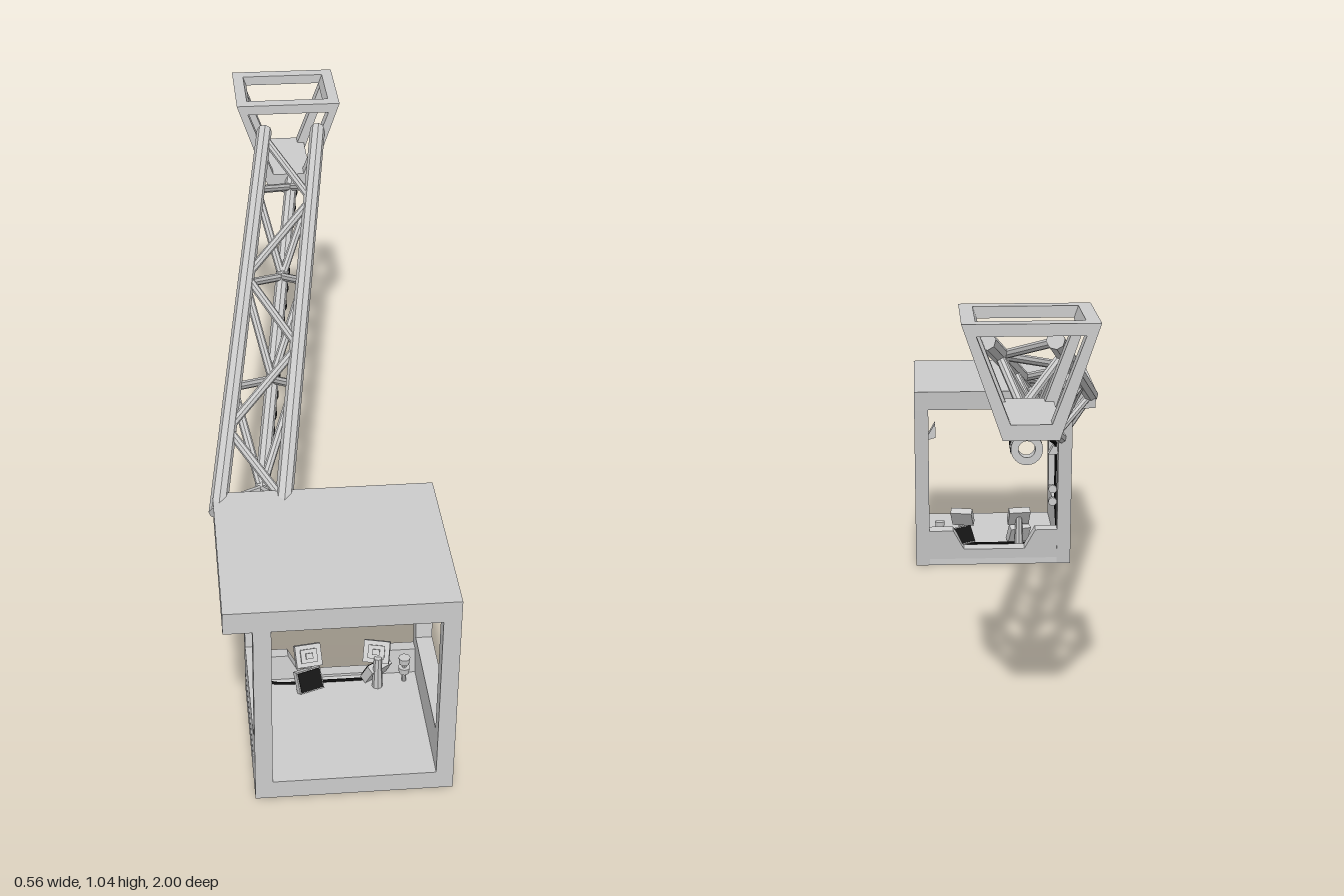
import * as THREE from 'three';

const mat = (name, color) => {
  const m = new THREE.MeshStandardMaterial({ color, flatShading: true });
  m.name = name;
  return m;
};
const V = (x, y, z) => new THREE.Vector3(x, y, z);

export function createModel() {
  const root = new THREE.Group();
  root.name = 'craneCab';
  const paint = mat('lightGrey', 0xcbcbcb);
  const black = mat('cableBlack', 0x151515);

  const add = (parent, name, geo, x = 0, y = 0, z = 0, material = paint) => {
    const m = new THREE.Mesh(geo, material);
    m.name = name;
    m.position.set(x, y, z);
    parent.add(m);
    return m;
  };
  const group = (name, parent = root) => {
    const g = new THREE.Group();
    g.name = name;
    parent.add(g);
    return g;
  };
  // box given by its limits
  const block = (parent, name, x0, x1, y0, y1, z0, z1) =>
    add(parent, name, new THREE.BoxGeometry(x1 - x0, y1 - y0, z1 - z0),
      (x0 + x1) / 2, (y0 + y1) / 2, (z0 + z1) / 2);
  // round bar between two points
  const bar = (parent, name, a, b, r, sides = 8) => {
    const m = add(parent, name, new THREE.CylinderGeometry(r, r, a.distanceTo(b), sides));
    m.position.copy(a).lerp(b, 0.5);
    m.quaternion.setFromUnitVectors(V(0, 1, 0), b.clone().sub(a).normalize());
    return m;
  };
  const poly = (pts, hole) => {
    const s = new THREE.Shape(pts.map(p => new THREE.Vector2(...p)));
    if (hole) s.holes.push(new THREE.Path(hole.map(p => new THREE.Vector2(...p))));
    return s;
  };
  const extrude = (shape, depth) => new THREE.ExtrudeGeometry(shape, { depth, bevelEnabled: false });

  // ---- Cab shell ----
  const cab = group('cab');
  block(cab, 'floor', -0.155, 0.238, 0, 0.05, 0.602, 1);
  add(cab, 'roof', extrude(poly([[-1, 0.508], [-0.532, 0.508], [-0.525, 0.565], [-1, 0.565]]), 0.545), -0.265)
    .rotation.y = Math.PI / 2;
  // side frames with slanted rear posts; shape x is -z
  const side = poly(
    [[-1, 0], [-0.6, 0], [-0.532, 0.508], [-1, 0.508]],
    [[-0.962, 0.155], [-0.962, 0.507], [-0.573, 0.507], [-0.622, 0.155]]);
  for (const [name, x] of [['rightSideFrame', -0.197], ['leftSideFrame', 0.238]])
    add(cab, name, extrude(side, 0.042), x).rotation.y = Math.PI / 2;
  block(cab, 'sillTrim', -0.199, -0.196, 0.08, 0.086, 0.64, 0.94);
  // rear sill, cut out in the middle
  const rearSill = poly([[-0.156, 0.02], [0.239, 0.02], [0.239, 0.114], [0.165, 0.114],
    [0.132, 0.052], [-0.055, 0.052], [-0.088, 0.114], [-0.156, 0.114]]);
  add(cab, 'rearSill', extrude(rearSill, 0.035), 0, 0, 0.602).rotation.x = -0.132;

  // ---- Cab fittings ----
  const fit = group('fittings');
  // facing: +1 puts the screen on the front, -1 on the rear
  const console = (name, x, yaw, facing) => {
    const g = group(name, fit);
    g.position.set(x, 0.05, 0.66);
    add(g, 'consoleFoot', new THREE.CylinderGeometry(0.01, 0.014, 0.09, 8), 0, 0.045, -0.015 * facing);
    const panel = (label, y, z, tilt, turn) => {
      const p = group(label, g);
      p.position.set(0, y, z);
      p.rotation.set(tilt, turn, 0, 'YXZ');
      add(p, 'panelHousing', new THREE.BoxGeometry(0.066, 0.056, 0.022));
      return p;
    };
    const lower = panel('lowerPanel', 0.029, 0.012 * facing, -0.5 * facing, yaw);
    add(lower, 'screen', new THREE.BoxGeometry(0.06, 0.05, 0.004), 0, 0, facing * 0.012, black);
    const upper = panel('upperPanel', 0.09, -0.01, -0.6, yaw * 0.4 * facing);
    add(upper, 'buttonPlate', new THREE.BoxGeometry(0.042, 0.034, 0.008), 0, 0, 0.013);
    add(upper, 'button', new THREE.BoxGeometry(0.018, 0.014, 0.008), 0, 0, 0.019);
  };
  console('rightConsole', -0.04, 0.35, 1);
  console('leftConsole', 0.135, 0.6, -1);
  // stool, dials and lamps
  for (const y of [0.085, 0.115])
    add(fit, 'stoolDisc', new THREE.CylinderGeometry(0.015, 0.013, 0.018, 12), 0.205, y, 0.66);
  bar(fit, 'discStem', V(0.205, 0.05, 0.66), V(0.205, 0.12, 0.66), 0.006);
  for (const y of [0.197, 0.237])
    add(fit, 'dial', new THREE.CylinderGeometry(0.013, 0.013, 0.014, 14), -0.142, y, 0.612)
      .rotation.x = Math.PI / 2;
  add(fit, 'rightLamp', extrude(poly([[0, 0], [0.03, 0], [0.005, 0.045]]), 0.03), -0.156, 0.355, 0.575);
  add(fit, 'leftLamp', extrude(poly([[0, 0], [0, 0.015], [-0.022, 0.052], [-0.022, 0.006]]), 0.03), 0.239, 0.406, 0.575);
  block(fit, 'handset', 0.246, 0.27, 0.3, 0.405, 0.585, 0.618);

  // ---- Lattice boom: two upper chords and one lower chord ----
  const boom = group('boom');
  const chords = {
    right: [V(-0.255, 0.54, 0.575), V(-0.045, 0.962, -0.75)],
    left: [V(-0.095, 0.54, 0.575), V(0.112, 0.962, -0.75)],
    low: [V(-0.165, 0.407, 0.575), V(0.035, 0.808, -0.75)],
  };
  const at = (k, t) => chords[k][0].clone().lerp(chords[k][1], t);
  for (const k in chords) bar(boom, k + 'Chord', ...chords[k], k === 'low' ? 0.018 : 0.022);
  const lace = (name, nodes) => {
    for (let i = 0; i + 1 < nodes.length; i++)
      bar(boom, name, at(...nodes[i]), at(...nodes[i + 1]), 0.0115);
  };
  for (const k of ['right', 'left']) {
    lace('sideBrace', [[k, 0.02], ['low', 0.15], [k, 0.29], ['low', 0.42],
      [k, 0.555], ['low', 0.7], [k, 0.82], ['low', 0.97]]);
    lace('rootBrace', [[k, 0.01], ['low', 0.01]]);
  }
  lace('topBrace', [['left', 0.02], ['right', 0.19], ['left', 0.385],
    ['right', 0.575], ['left', 0.785], ['right', 0.98]]);

  // ---- Tapered cage at the boom tip ----
  const cage = group('tipCage');
  const outer = [[-0.125, 1.045], [-0.037, 0.79], [0.087, 0.79], [0.175, 1.045]];
  const inner = [[-0.093, 1.018], [-0.02, 0.825], [0.07, 0.825], [0.143, 1.018]];
  for (const z of [-0.775, -1])
    add(cage, 'endFrame', extrude(poly(outer, inner), 0.038), 0, 0, z);
  const rail = [[-0.125, 1.045], [-0.115, 1.016], [-0.084, 1.016], [-0.094, 1.045]];
  add(cage, 'topRail', extrude(poly(rail), 0.2), 0, 0, -0.97);
  add(cage, 'topRail', extrude(poly(rail.map(([x, y]) => [0.05 - x, y])), 0.2), 0, 0, -0.97);
  add(cage, 'basePlate', extrude(poly([[-0.04, 0.825], [-0.037, 0.79], [0.087, 0.79], [0.09, 0.825]]), 0.2),
    0, 0, -0.97);
  // hanging eye
  const eye = new THREE.Shape().absarc(0, 0, 0.036, 0, Math.PI * 2);
  eye.holes.push(new THREE.Path().absarc(0, 0, 0.019, 0, Math.PI * 2));
  add(cage, 'hangingEye', new THREE.ExtrudeGeometry(eye, { depth: 0.028, bevelEnabled: false, curveSegments: 12 }),
    0.028, 0.742, -0.887);
  block(cage, 'eyeNeck', 0.012, 0.044, 0.77, 0.792, -0.887, -0.859);

  // ---- Cable along the boom, down the rear post and across the floor ----
  const run = [V(0.06, 0.728, -0.87), V(0.062, 0.752, -0.84), V(0.056, 0.776, -0.785)];
  const n = 60;
  for (let i = 0; i <= n; i++) {
    const p = at('low', 0.98 - 0.96 * i / n);
    run.push(p.add(V(0.014 + 0.003 * Math.sin(i * 2.1), -0.018 + 0.003 * Math.sin(i * 1.7), 0)));
  }
  run.push(V(-0.15, 0.36, 0.595), V(-0.151, 0.2, 0.612), V(-0.151, 0.06, 0.63),
    V(-0.13, 0.053, 0.645), V(0, 0.053, 0.65), V(0.15, 0.053, 0.65));
  add(root, 'boomCable', new THREE.TubeGeometry(new THREE.CatmullRomCurve3(run), 300, 0.0038, 6), 0, 0, 0, black);

  return root;
}
